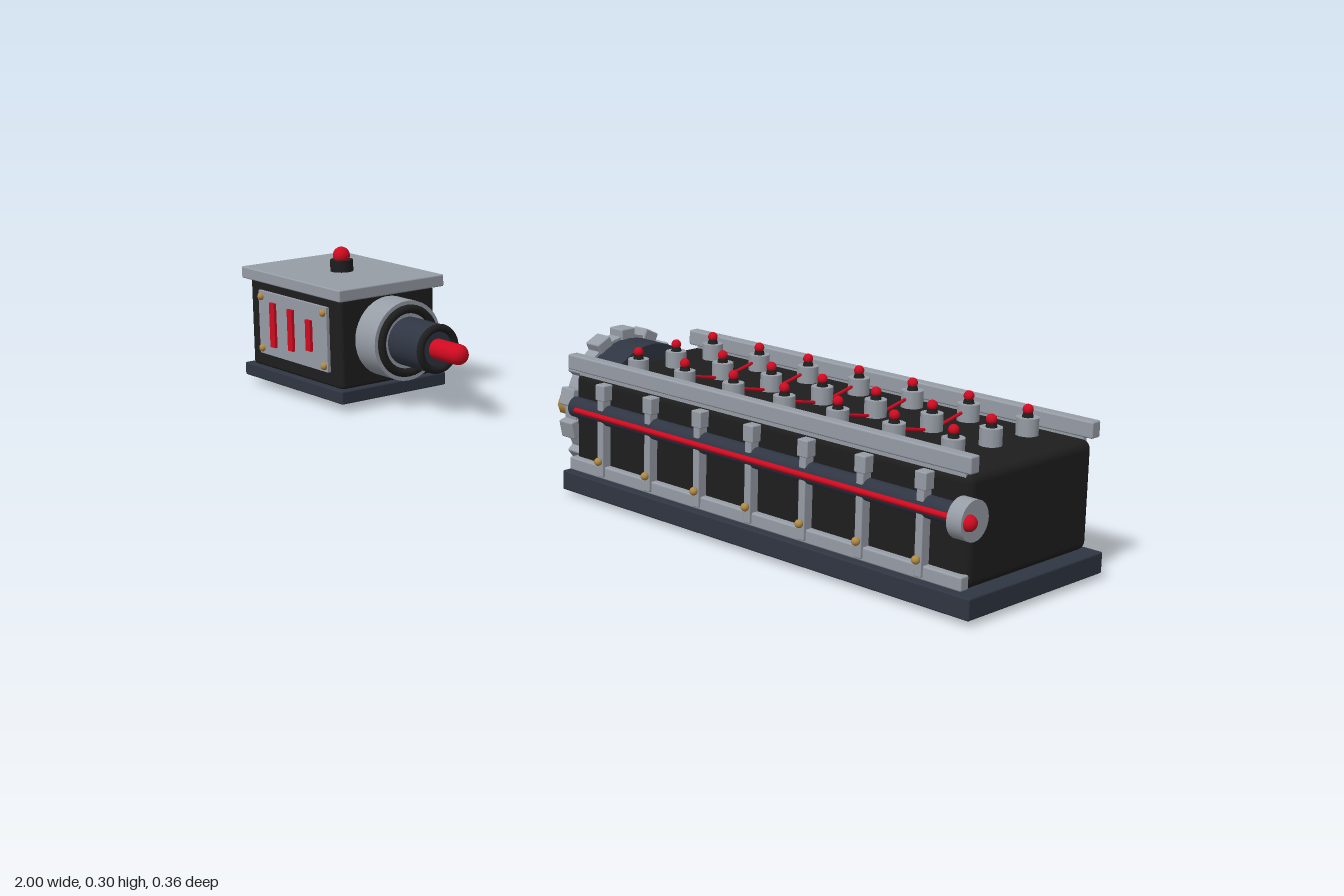
import * as THREE from 'three';
import { RoundedBoxGeometry } from 'three/addons/geometries/RoundedBoxGeometry.js';

const mat = (name, color) => {
  const m = new THREE.MeshStandardMaterial({ color });
  m.name = name;
  return m;
};

export function createModel() {
  const black = mat('black', 0x1e1e1e);
  const slate = mat('slate', 0x2f3542);
  const grey = mat('steel grey', 0x979da6);
  const red = mat('red', 0xd00a20);
  const brass = mat('brass', 0xb08a45);
  const ZC = -0.0125; // shared centre line
  const root = new THREE.Group();
  root.name = 'machine';

  const add = (parent, name, geo, m, x = 0, y = 0, z = 0) => {
    const mesh = new THREE.Mesh(geo, m);
    mesh.name = name;
    mesh.position.set(x, y, z);
    parent.add(mesh);
    return mesh;
  };
  const group = (name) => {
    const g = new THREE.Group();
    g.name = name;
    root.add(g);
    return g;
  };
  // Box given by its limits on each axis
  const box = (p, name, m, x0, x1, y0, y1, z0, z1, r = 0) => {
    const s = [x1 - x0, y1 - y0, z1 - z0];
    const geo = r ? new RoundedBoxGeometry(...s, 3, r) : new THREE.BoxGeometry(...s);
    return add(p, name, geo, m, (x0 + x1) / 2, (y0 + y1) / 2, (z0 + z1) / 2);
  };
  // Cylinder along x
  const rod = (p, name, m, x0, x1, y, z, r, sides = 32) =>
    add(p, name, new THREE.CylinderGeometry(r, r, x1 - x0, sides).rotateZ(Math.PI / 2), m, (x0 + x1) / 2, y, z);
  const ball = (p, name, m, x, y, z, r) => add(p, name, new THREE.SphereGeometry(r, 16, 12), m, x, y, z);

  // ---- Long unit ----
  const unit = group('longUnit');
  box(unit, 'basePlate', slate, 0.083, 0.985, 0.01, 0.045, -0.177, 0.152, 0.003);
  box(unit, 'body', black, 0.1, 0.967, 0.047, 0.225, -0.162, 0.137, 0.015);
  for (const z of [0.1345, -0.1595])
    box(unit, 'topRail', grey, 0.09, 0.972, 0.228, 0.255, z - 0.0105, z + 0.0105, 0.003);
  for (const z of [0.13, -0.155])
    box(unit, 'railSeat', grey, 0.11, 0.955, 0.215, 0.23, z - 0.004, z + 0.004);
  box(unit, 'lowerRail', grey, 0.1, 0.967, 0.05, 0.073, 0.131, 0.15, 0.003);

  // Studs in three rows, joined across by sagging wires
  for (let i = 0; i < 7; i++) {
    const x = 0.198 + i * 0.1145;
    for (const dz of [-0.09, 0, 0.09]) {
      add(unit, 'stud', new THREE.CylinderGeometry(0.0185, 0.0185, 0.028, 10), grey, x, 0.241, ZC + dz);
      add(unit, 'studNeck', new THREE.CylinderGeometry(0.007, 0.01, 0.01, 10), black, x, 0.258, ZC + dz);
      ball(unit, 'studLight', red, x, 0.267, ZC + dz, 0.0085);
    }
    if (i > 0 && i < 6) for (const s of [-1, 1]) {
      const wire = new THREE.QuadraticBezierCurve3(
        new THREE.Vector3(x, 0.245, ZC + s * 0.085),
        new THREE.Vector3(x, 0.234, ZC + s * 0.04),
        new THREE.Vector3(x, 0.228, ZC));
      add(unit, 'wire', new THREE.TubeGeometry(wire, 8, 0.0028, 6), red);
    }
  }

  // Front ribs with brass bolts
  for (let i = 0; i < 7; i++) {
    const x = 0.185 + i * 0.1173;
    box(unit, 'rib', grey, x - 0.007, x + 0.007, 0.055, 0.218, 0.135, 0.155, 0.002);
    box(unit, 'ribCap', grey, x - 0.011, x + 0.011, 0.19, 0.218, 0.135, 0.156, 0.002);
    ball(unit, 'ribBolt', brass, x, 0.083, 0.159, 0.007);
  }

  // Front pipe with red line and end cap
  rod(unit, 'pipe', slate, 0.105, 0.965, 0.163, 0.14, 0.018, 20);
  rod(unit, 'pipeLine', red, 0.125, 0.965, 0.163, 0.158, 0.005, 10);
  rod(unit, 'pipeCap', grey, 0.958, 0.985, 0.163, 0.147, 0.032, 24);
  ball(unit, 'pipeLight', red, 0.985, 0.163, 0.161, 0.013);

  // ---- Coupling at the end of the long unit ----
  const coupling = group('coupling');
  const CY = 0.138;
  rod(coupling, 'collar', slate, 0.06, 0.137, CY, ZC, 0.119, 40);
  const ringShape = new THREE.Shape().absarc(0, 0, 0.124, 0, Math.PI * 2);
  ringShape.holes.push(new THREE.Path().absarc(0, 0, 0.098, 0, Math.PI * 2, true));
  const ringGeo = new THREE.ExtrudeGeometry(ringShape, { depth: 0.028, bevelEnabled: false, curveSegments: 24 });
  add(coupling, 'ring', ringGeo.rotateY(Math.PI / 2), grey, 0.044, CY, ZC);
  for (let i = 0; i < 14; i++) {
    const a = i * Math.PI / 7;
    const tooth = add(coupling, 'tooth', new RoundedBoxGeometry(0.034, 0.022, 0.032, 2, 0.003), grey,
      0.058, CY + Math.cos(a) * 0.126, ZC + Math.sin(a) * 0.126);
    tooth.rotation.x = a;
  }
  for (let i = 0; i < 4; i++) {
    const a = i * Math.PI / 2;
    const y = CY + Math.cos(a) * 0.082, z = ZC + Math.sin(a) * 0.082;
    rod(coupling, 'brassPin', brass, 0, 0.035, y, z, 0.022, 8);
    rod(coupling, 'pinFoot', brass, 0.03, 0.065, y, z, 0.016, 12);
  }
  rod(coupling, 'hubSeat', black, 0.04, 0.062, CY, ZC, 0.056);
  rod(coupling, 'hub', red, 0.012, 0.05, CY, ZC, 0.043, 20);

  // ---- Control box ----
  const control = group('controlBox');
  box(control, 'controlBase', slate, -1, -0.64, 0.018, 0.045, -0.147, 0.117, 0.003);
  box(control, 'controlBody', black, -0.985, -0.655, 0.043, 0.232, -0.132, 0.105, 0.008);
  box(control, 'lid', grey, -1, -0.64, 0.229, 0.254, -0.147, 0.117, 0.003);
  box(control, 'panel', grey, -0.945, -0.695, 0.075, 0.21, 0.104, 0.112);
  for (const x of [-0.934, -0.706]) for (const y of [0.087, 0.198])
    ball(control, 'panelScrew', brass, x, y, 0.113, 0.008);
  [0.095, 0.088, 0.065].forEach((h, i) => {
    const x = -0.888 + i * 0.066;
    box(control, 'indicator', red, x - 0.009, x + 0.009, 0.143 - h / 2, 0.143 + h / 2, 0.111, 0.118);
  });
  add(control, 'lampBase', new THREE.CylinderGeometry(0.024, 0.024, 0.025, 20), black, -0.815, 0.2655, ZC);
  ball(control, 'lamp', red, -0.815, 0.287, ZC, 0.018);

  // ---- Nozzle on the control box ----
  const nozzle = group('nozzle');
  const NY = 0.141;
  const hoop = (name, m, x, R, r) =>
    add(nozzle, name, new THREE.TorusGeometry(R, r, 10, 36).rotateY(Math.PI / 2), m, x, NY, ZC);
  rod(nozzle, 'flange', grey, -0.665, -0.588, NY, ZC, 0.083, 40);
  hoop('flangeSeal', black, -0.588, 0.066, 0.009);
  rod(nozzle, 'barrel', slate, -0.59, -0.49, NY, ZC, 0.05, 32);
  hoop('barrelRim', black, -0.489, 0.043, 0.008);
  rod(nozzle, 'plunger', red, -0.5, -0.422, NY, ZC, 0.021, 20);
  ball(nozzle, 'plungerTip', red, -0.422, NY, ZC, 0.021);

  return root;
}
